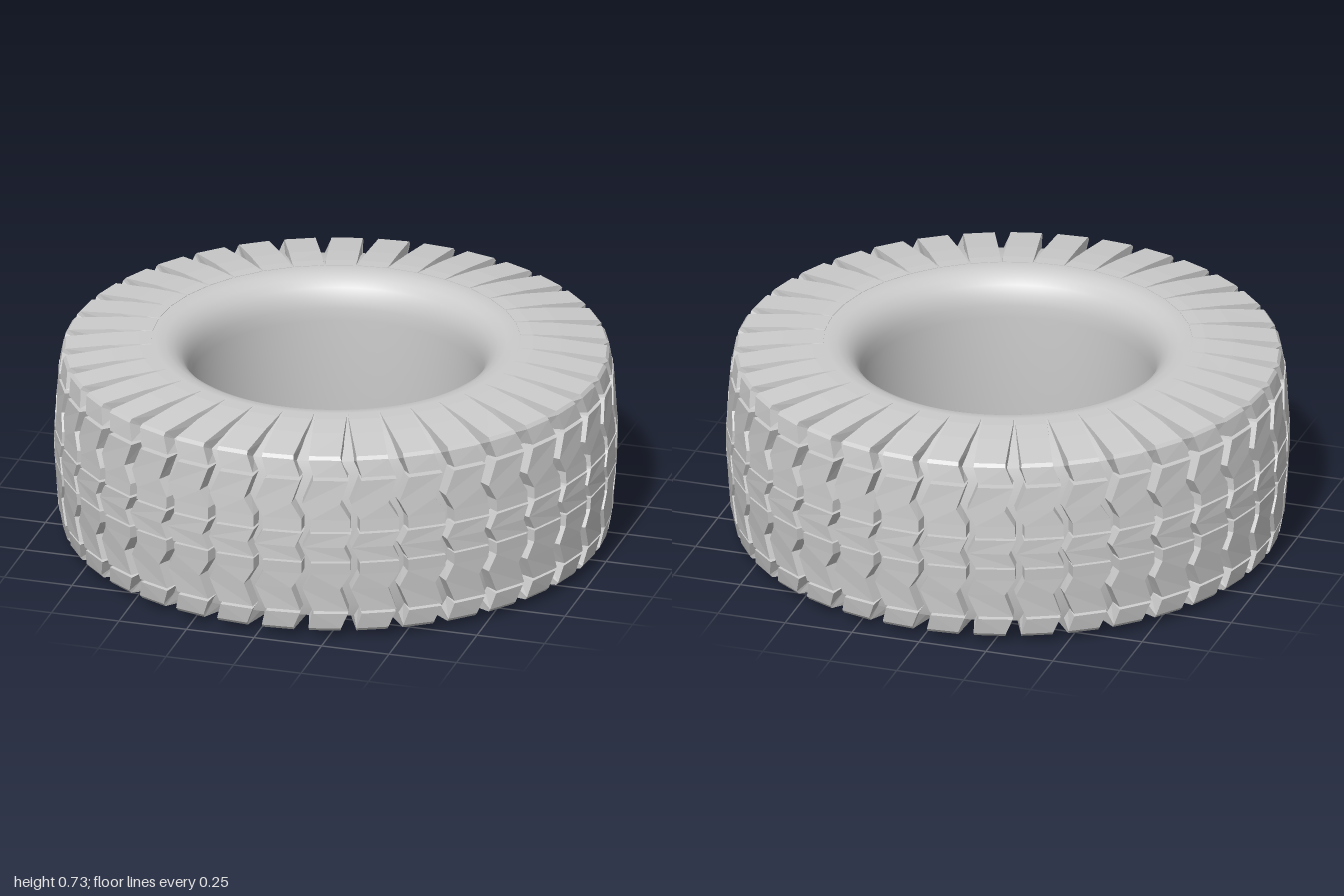
import * as THREE from 'three';
import { mergeGeometries, toCreasedNormals } from 'three/addons/utils/BufferGeometryUtils.js';

const COUNT = 36;          // lugs around the tyre
const MID = 0.365;         // height of the tyre's middle plane
const PITCH = (Math.PI * 2) / COUNT;

// Loft one lug through stations [radius, height from middle, angle shift, half angle, depth, sink].
// side = 1 builds the upper half, -1 its mirror image.
function lugGeometry(stations, angle, side) {
  const loops = stations.map(([r, h, shift, half, depth, sink]) => {
    const point = (radius, y, t) => [radius * Math.sin(t), side * y, radius * Math.cos(t)];
    const a = angle + shift;
    const w = half + 0.006; // walls flare slightly towards the root
    return [
      point(r, h, a - half), point(r, h, a + half),
      point(r - depth, h - sink, a + w), point(r - depth, h - sink, a - w),
    ];
  });
  const pos = [];
  const quad = (a, b, c, d) => {
    const tris = side > 0 ? [a, b, c, a, c, d] : [a, c, b, a, d, c];
    tris.forEach((p) => pos.push(...p));
  };
  for (let i = 0; i < loops.length - 1; i++) {
    for (let k = 0; k < 4; k++) {
      const n = (k + 1) % 4;
      quad(loops[i][k], loops[i][n], loops[i + 1][n], loops[i + 1][k]);
    }
  }
  const [first, last] = [loops[0], loops[loops.length - 1]];
  quad(first[3], first[2], first[1], first[0]);
  quad(last[0], last[1], last[2], last[3]);
  const geo = new THREE.BufferGeometry();
  geo.setAttribute('position', new THREE.Float32BufferAttribute(pos, 3));
  geo.computeVertexNormals();
  return geo;
}

// Repeat a lug around the tyre on both halves
function lugRing(name, stations, material) {
  const parts = [];
  for (let i = 0; i < COUNT; i++) {
    for (const side of [1, -1]) parts.push(lugGeometry(stations, (i + 0.5) * PITCH, side));
  }
  const mesh = new THREE.Mesh(mergeGeometries(parts), material);
  mesh.name = name;
  mesh.position.y = MID;
  return mesh;
}

export function createModel() {
  const group = new THREE.Group();
  group.name = 'tyre';
  const rubber = new THREE.MeshStandardMaterial({ color: 0xcccccc });
  const lugRubber = new THREE.MeshStandardMaterial({ color: 0xcccccc, flatShading: true });

  // Carcass: groove floor, sidewalls, rounded beads and bore
  const half = [
    [0.95, 0], [0.945, 0.12], [0.93, 0.25], [0.915, 0.298], [0.80, 0.336], [0.68, 0.362],
    [0.64, 0.365], [0.605, 0.361], [0.575, 0.347], [0.55, 0.324], [0.532, 0.292], [0.523, 0.255], [0.52, 0.21],
  ];
  const lower = half.slice(1).reverse().map(([r, h]) => [r, -h]);
  const profile = [...lower, ...half, lower[0]].map(([r, h]) => new THREE.Vector2(r, h));
  const carcass = new THREE.Mesh(toCreasedNormals(new THREE.LatheGeometry(profile, 108), 0.6), rubber);
  carcass.name = 'carcass';
  carcass.position.y = MID;
  group.add(carcass);

  // Centre rib blocks
  group.add(lugRing('centreLugs', [
    [1.0, 0, -0.012, 0.074, 0.06, 0],
    [0.999, 0.053, 0.014, 0.072, 0.06, 0],
  ], lugRubber));

  // Chevron blocks either side of the centre
  group.add(lugRing('chevronLugs', [
    [0.998, 0.061, 0.014, 0.070, 0.06, 0],
    [0.995, 0.105, 0.014, 0.070, 0.06, 0],
    [0.991, 0.165, -0.020, 0.067, 0.06, 0],
    [0.985, 0.252, 0.014, 0.064, 0.065, 0],
  ], lugRubber));

  // Shoulder blocks that wrap over the edge and fade into the sidewall
  group.add(lugRing('shoulderLugs', [
    [0.981, 0.264, 0.014, 0.062, 0.07, 0.01],
    [0.970, 0.325, -0.008, 0.059, 0.07, 0.035],
    [0.960, 0.337, -0.008, 0.058, 0.06, 0.05],
    [0.800, 0.357, -0.002, 0.070, 0.01, 0.04],
    [0.700, 0.365, 0.004, 0.080, 0.005, 0.02],
    [0.655, 0.3655, 0.006, 0.081, 0, 0.012],
  ], lugRubber));

  return group;
}
